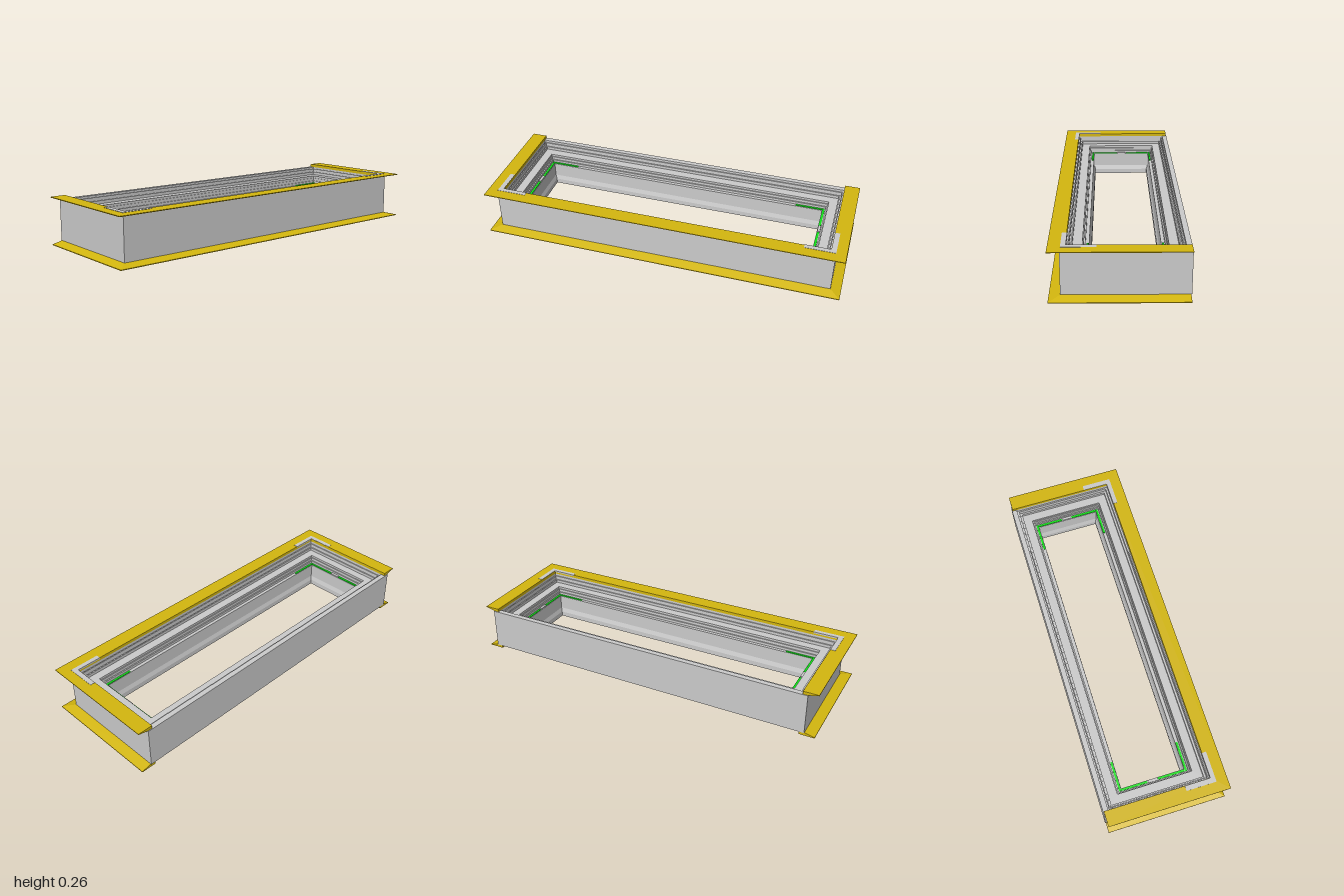
import * as THREE from 'three';

const HALF_X = 0.945, FRONT_Z = 0.28, BACK_Z = -0.333, HEIGHT = 0.257;
const material = (color) => new THREE.MeshStandardMaterial({ color, flatShading: true });

// Sweeps an (inset, y) profile around the frame with mitred corners.
// Closed: all four sides. Open: left, front and right sides with capped ends.
function sweep(profile, closed) {
  const corner = (i, s) => {
    const [d, y] = profile[i];
    const x = (HALF_X - d) * (s % 4 < 2 ? -1 : 1);
    const isFront = s % 4 === 1 || s % 4 === 2;
    const z = isFront ? FRONT_Z - d : closed ? BACK_Z + d : -0.329;
    return [x, y, z];
  };
  const out = [];
  const n = profile.length;
  for (let s = 0; s < (closed ? 4 : 3); s++) {
    for (let i = 0; i < n; i++) {
      const j = (i + 1) % n;
      const a = corner(i, s), b = corner(i, s + 1), c = corner(j, s + 1), d = corner(j, s);
      out.push(...a, ...b, ...c, ...a, ...c, ...d);
    }
  }
  if (!closed) {
    for (let i = 1; i < n - 1; i++) {
      out.push(...corner(0, 0), ...corner(i, 0), ...corner(i + 1, 0));
      out.push(...corner(0, 3), ...corner(i + 1, 3), ...corner(i, 3));
    }
  }
  const geometry = new THREE.BufferGeometry();
  geometry.setAttribute('position', new THREE.Float32BufferAttribute(out, 3));
  geometry.computeVertexNormals();
  return geometry;
}

export function createModel() {
  const group = new THREE.Group();
  const grey = material(0xcccccc);
  const yellow = material(0xd4b70f);
  const green = material(0x10e018);

  const add = (name, geometry, mat) => {
    const mesh = new THREE.Mesh(geometry, mat);
    mesh.name = name;
    group.add(mesh);
    return mesh;
  };
  // Box given by its minimum and maximum on each axis
  const block = (name, x0, x1, y0, y1, z0, z1, mat) =>
    add(name, new THREE.BoxGeometry(Math.abs(x1 - x0), y1 - y0, z1 - z0), mat)
      .position.set((x0 + x1) / 2, (y0 + y1) / 2, (z0 + z1) / 2);

  // Frame body: outer wall, rim, stepped seats, throat and grooved underside
  add('frameBody', sweep([
    [0, 0.017], [0, 0.24], [0.028, 0.24], [0.028, 0.222], [0.034, 0.222],
    [0.034, 0.23], [0.04, 0.23], [0.04, 0.206], [0.046, 0.206], [0.046, 0.212],
    [0.053, 0.212], [0.053, 0.195], [0.1, 0.195], [0.1, 0.182], [0.105, 0.182],
    [0.105, 0.165], [0.112, 0.165], [0.112, 0.15], [0.13, 0.15], [0.13, 0.07],
    [0.137, 0.045], [0.137, 0.017], [0.105, 0.017], [0.105, 0.023], [0.098, 0.023],
    [0.098, 0.017],
  ], true), grey);

  // Tapered flanges around the front and sides, above and below
  const flange = [[-0.055, 0.253], [-0.055, HEIGHT], [0.028, HEIGHT], [0.028, 0.24], [0, 0.24]];
  add('topFlange', sweep(flange, false), yellow);
  add('bottomFlange', sweep(flange.map(([d, y]) => [d, HEIGHT - y]).reverse(), false), yellow);

  for (const side of [-1, 1]) {
    // L-shaped corner plates set into both flanges
    for (const [name, y0, y1] of [['topCornerPlate', 0.25, 0.2585], ['bottomCornerPlate', -0.0005, 0.007]]) {
      block(name, side * 0.78, side * 0.945, y0, y1, 0.25, 0.275, grey);
      block(name, side * 0.918, side * 0.945, y0, y1, 0.11, 0.25, grey);
    }
    // Coloured strips on the inner seat
    block('sideSeatStrip', side * 0.817, side * 0.829, 0.149, 0.154, 0.0, 0.15, green);
    block('sideSeatStrip', side * 0.817, side * 0.829, 0.149, 0.154, -0.205, -0.06, green);
    block('seatClip', side * 0.817, side * 0.831, 0.149, 0.156, -0.055, -0.005, grey);
    block('frontSeatStrip', side * 0.665, side * 0.829, 0.149, 0.154, 0.152, 0.163, green);
    block('backSeatStrip', side * 0.665, side * 0.829, 0.149, 0.154, -0.217, -0.206, green);
  }
  return group;
}
